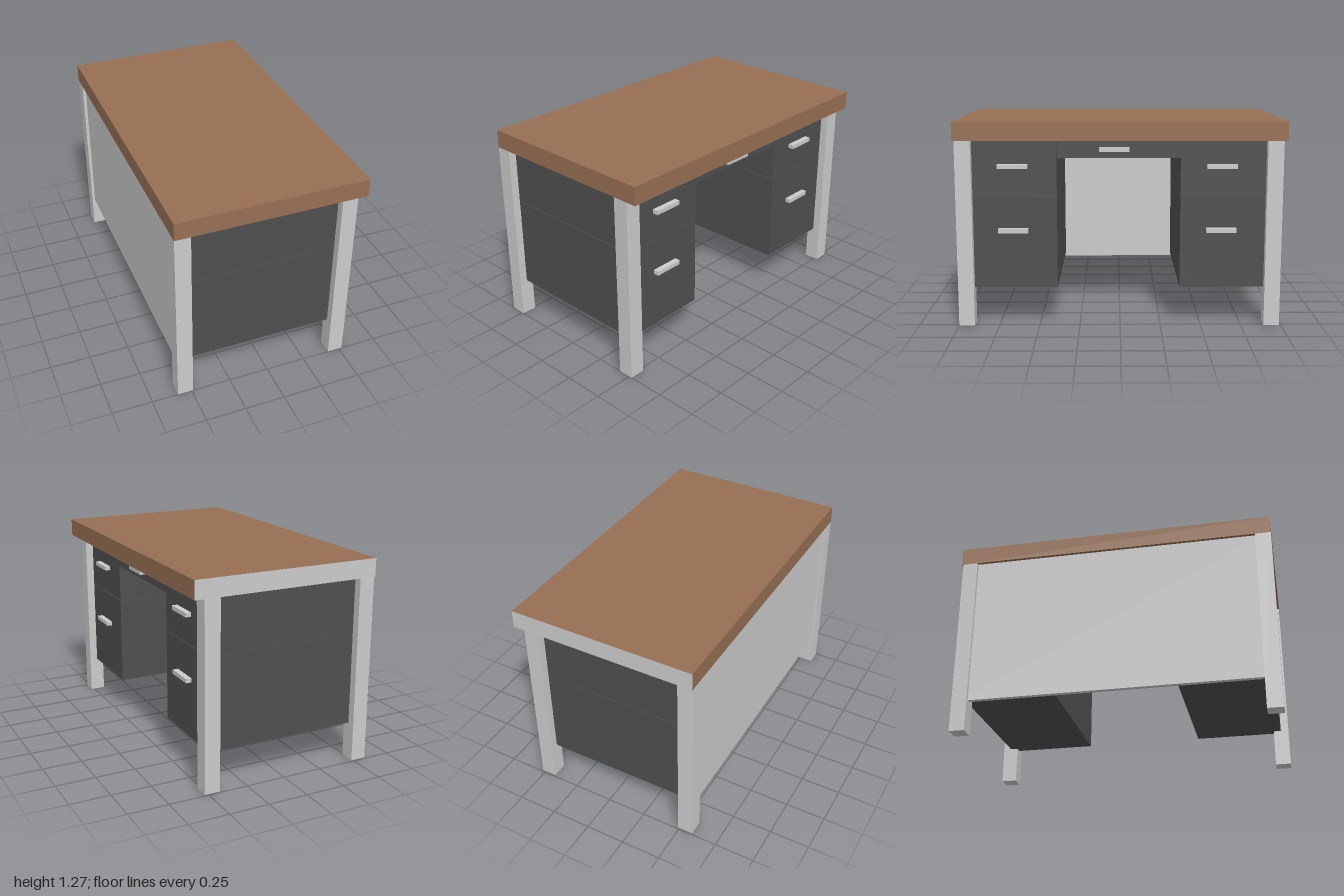
import * as THREE from 'three';

const grey = new THREE.MeshStandardMaterial({ color: 0xcccccc });
const wood = new THREE.MeshStandardMaterial({ color: 0x976f53 });
const dark = new THREE.MeshStandardMaterial({ color: 0x4f4f4f });

export function createModel() {
  const desk = new THREE.Group();
  desk.name = 'desk';

  // Box given by its [min, max] extents on each axis
  function box(name, material, [x0, x1], [y0, y1], [z0, z1]) {
    const mesh = new THREE.Mesh(new THREE.BoxGeometry(x1 - x0, y1 - y0, z1 - z0), material);
    mesh.position.set((x0 + x1) / 2, (y0 + y1) / 2, (z0 + z1) / 2);
    mesh.name = name;
    desk.add(mesh);
  }

  const underside = 1.158;
  const drawerFront = 0.47;
  const drawerBack = -0.5;

  // Wooden slab with one bare grey end
  box('tableTop', [wood, wood, wood, wood, wood, grey], [-0.587, 0.587], [underside, 1.27], [-1, 1]);

  // Four square legs
  for (const x of [[-0.587, -0.49], [0.424, 0.521]]) {
    for (const z of [[-0.99, -0.893], [0.903, 1]]) box('leg', grey, x, [0, underside], z);
  }

  // Modesty panel across the back
  box('backPanel', grey, [-0.567, -0.537], [0.2, underside], [-0.94, 0.95]);

  // Two pedestals, each a stack of two drawers with handles
  const pedestals = [
    { z: [0.387, 0.95], handle: [0.563, 0.747] },
    { z: [-0.94, -0.37], handle: [-0.715, -0.53] },
  ];
  const handleDepth = [drawerFront, 0.505];
  for (const { z, handle } of pedestals) {
    box('lowerDrawer', dark, [drawerBack, drawerFront], [0.233, 0.803], z);
    box('upperDrawer', dark, [drawerBack, drawerFront], [0.807, underside], z);
    box('lowerHandle', grey, handleDepth, [0.583, 0.609], handle);
    box('upperHandle', grey, handleDepth, [0.979, 1.005], handle);
  }

  // Shallow drawer above the knee space
  box('centreDrawer', dark, [drawerBack, drawerFront], [1.043, underside], [-0.37, 0.384]);
  box('centreHandle', grey, handleDepth, [1.083, 1.109], [-0.057, 0.128]);

  return desk;
}
